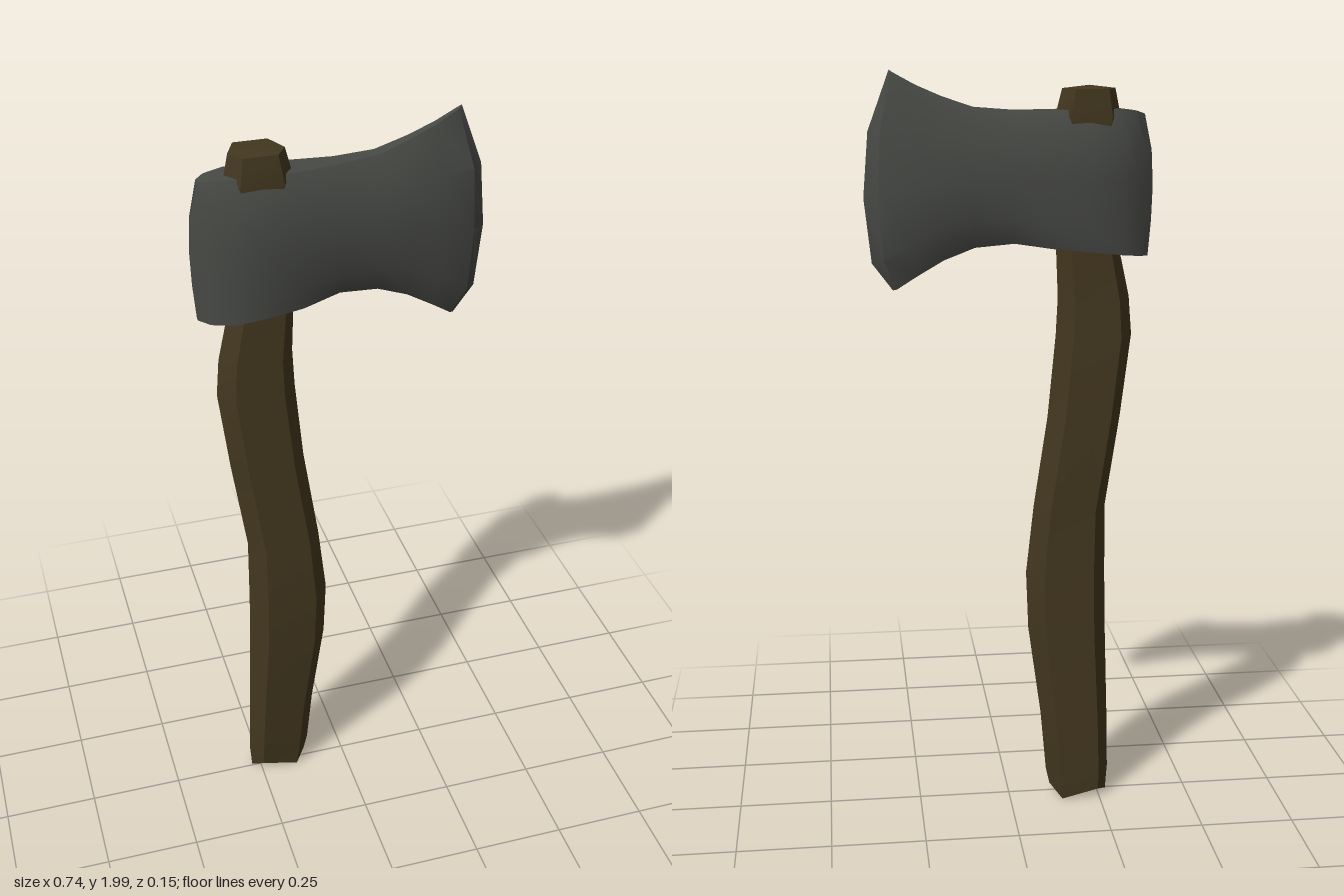
import * as THREE from 'three';
import { toCreasedNormals } from 'three/addons/utils/BufferGeometryUtils.js';

// Skin a list of equal-length rings; each end closes on a centre point (inset moves it along the loft)
function loft(rings, startInset, endInset, crease) {
  const n = rings[0].length;
  const points = rings.flat();
  const index = [];
  for (let i = 0; i < rings.length - 1; i++) {
    for (let j = 0; j < n; j++) {
      const a = i * n + j, b = i * n + (j + 1) % n;
      index.push(a, b, b + n, a, b + n, a + n);
    }
  }
  const centre = (ring, inset) => ring
    .reduce((sum, p) => sum.add(p), new THREE.Vector3())
    .divideScalar(n).add(inset);
  const last = (rings.length - 1) * n;
  const c0 = points.push(centre(rings[0], startInset)) - 1;
  const c1 = points.push(centre(rings[rings.length - 1], endInset)) - 1;
  for (let j = 0; j < n; j++) {
    const k = (j + 1) % n;
    index.push(c0, k, j, c1, last + j, last + k);
  }
  const geometry = new THREE.BufferGeometry().setFromPoints(points);
  geometry.setIndex(index);
  return toCreasedNormals(geometry, crease);
}

// Six-sided handle section: ridges at both x ends, flat front and back
function handleRing([y, x0, x1, z0, z1], jag = 0) {
  const inset = (x1 - x0) * 0.19, zc = (z0 + z1) / 2 + 0.01;
  return [
    [x1, zc], [x1 - inset, z0], [x0 + inset, z0],
    [x0, zc], [x0 + inset, z1], [x1 - inset, z1],
  ].map(([x, z], j) => new THREE.Vector3(x, y + (j % 2 ? 0 : jag), z));
}

// Ten-sided head section; the side points bulge from the top and bottom x towards the middle x
function headRing([xTop, xMid, xBot, yTop, yUp, yLow, yBot, zTop, zSide, zBot, zc]) {
  const half = [
    [xTop, yTop, zTop],
    [xTop + (xMid - xTop) * 0.8, yUp, zSide],
    [xMid, (yUp + yLow) / 2, zSide],
    [xBot + (xMid - xBot) * 0.75, yLow, zSide],
    [xBot, yBot, zBot],
  ];
  const front = half.map(([x, y, z]) => new THREE.Vector3(x, y, zc + z));
  const back = half.map(([x, y, z]) => new THREE.Vector3(x, y, zc - z)).reverse();
  return [...front, ...back];
}

export function createModel() {
  const wood = new THREE.MeshStandardMaterial({ color: 0x43371f });
  wood.name = 'dark wood';
  const iron = new THREE.MeshStandardMaterial({ color: 0x474945 });
  iron.name = 'dark iron';
  const group = new THREE.Group();
  group.name = 'axe';

  // Curved handle with a ragged foot: y, x range, z range
  const handle = [
    [0.01, -0.275, -0.115, -0.058, 0.028],
    [0.08, -0.28, -0.105, -0.06, 0.034],
    [0.25, -0.277, -0.09, -0.058, 0.048],
    [0.5, -0.27, -0.056, -0.055, 0.067],
    [0.66, -0.267, -0.05, -0.052, 0.073],
    [0.85, -0.265, -0.07, -0.055, 0.073],
    [1.1, -0.3, -0.105, -0.064, 0.064],
    [1.32, -0.326, -0.125, -0.06, 0.058],
    [1.42, -0.318, -0.13, -0.056, 0.058],
    [1.56, -0.287, -0.124, -0.055, 0.058],
    [1.8, -0.28, -0.125, -0.055, 0.055],
  ].map((s, i) => handleRing(s, i === 0 ? 0.025 : 0));
  const handleMesh = new THREE.Mesh(
    loft(handle, new THREE.Vector3(0, 0.025, 0), new THREE.Vector3(), 0.45), wood);
  handleMesh.name = 'handle';
  group.add(handleMesh);

  // Flared handle end showing above the head
  const peg = [
    [1.8, -0.27, -0.13, -0.055, 0.05],
    [1.885, -0.287, -0.119, -0.06, 0.056],
    [1.953, -0.272, -0.136, -0.055, 0.045],
  ].map((s) => handleRing(s));
  const pegMesh = new THREE.Mesh(
    loft(peg, new THREE.Vector3(), new THREE.Vector3(0, 0.008, 0), 0.3), wood);
  pegMesh.name = 'handleEnd';
  group.add(pegMesh);

  // Head from pointed poll to flared blade:
  // x top/mid/bottom, y top/upper/lower/bottom, half depth top/side/bottom, centre z
  const head = [
    [-0.345, -0.37, -0.36, 1.89, 1.8, 1.62, 1.53, 0.006, 0.004, 0.006, -0.01],
    [-0.325, -0.335, -0.335, 1.897, 1.84, 1.61, 1.532, 0.025, 0.036, 0.035, -0.004],
    [-0.275, -0.28, -0.285, 1.903, 1.84, 1.61, 1.538, 0.04, 0.067, 0.062, 0],
    [-0.2, -0.2, -0.2, 1.903, 1.84, 1.61, 1.548, 0.042, 0.075, 0.068, 0],
    [-0.11, -0.11, -0.11, 1.9, 1.84, 1.61, 1.556, 0.038, 0.073, 0.06, -0.003],
    [-0.01, -0.01, -0.01, 1.9, 1.83, 1.63, 1.569, 0.024, 0.062, 0.035, -0.008],
    [0.09, 0.09, 0.09, 1.908, 1.83, 1.63, 1.559, 0.018, 0.06, 0.025, -0.009],
    [0.17, 0.17, 0.17, 1.935, 1.84, 1.61, 1.527, 0.013, 0.056, 0.018, -0.01],
    [0.235, 0.25, 0.24, 1.963, 1.85, 1.57, 1.485, 0.009, 0.046, 0.012, -0.01],
    [0.292, 0.335, 0.29, 1.994, 1.85, 1.53, 1.453, 0.006, 0.034, 0.008, -0.01],
    [0.3, 0.37, 0.3, 2.0, 1.85, 1.52, 1.45, 0.002, 0.002, 0.002, -0.01],
  ].map(headRing);
  const headMesh = new THREE.Mesh(
    loft(head, new THREE.Vector3(), new THREE.Vector3(), 0.6), iron);
  headMesh.name = 'axeHead';
  group.add(headMesh);

  return group;
}
